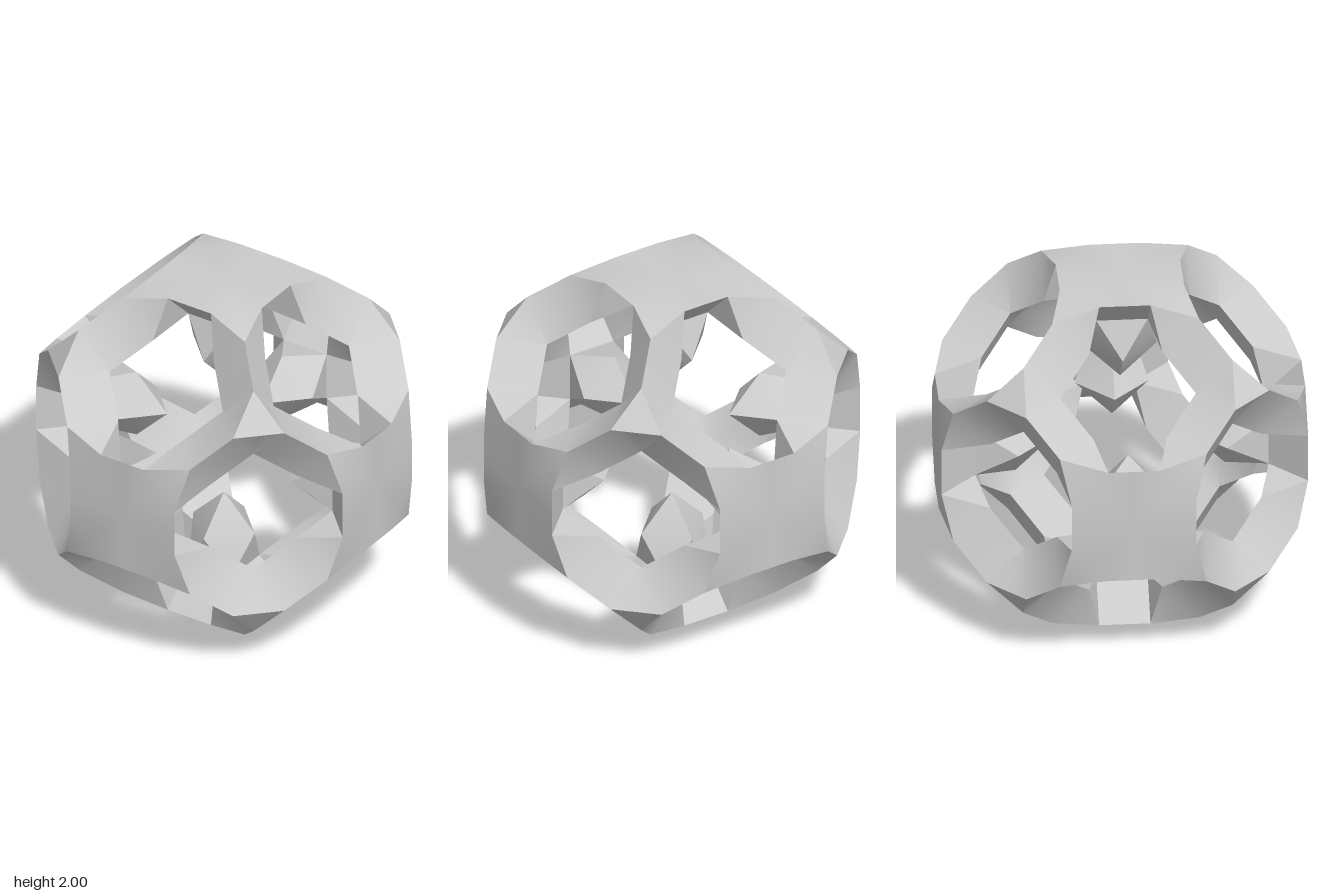
import * as THREE from 'three';
import { toCreasedNormals } from 'three/addons/utils/BufferGeometryUtils.js';

// Key points of one 48th of the body (y >= z >= x >= 0); the rest follows by cube symmetry
const P = {
  capMid: [0, 1, 0], capEdge: [0, 1, 0.34], capSide: [0.14, 1, 0.34],
  capBend: [0.24, 1, 0.24], capTip: [0.4, 0.94, 0.4],
  ridge: [0.57, 0.77, 0.57], ridgeMid: [0.57, 0.67, 0.67], corner: [0.637, 0.637, 0.637],
  inner: [0.37, 0.57, 0.57], neck: [0.2, 0.74, 0.4],
  neckMid: [0.3, 0.74, 0.3], innerMid: [0.47, 0.57, 0.47], innerCorner: [0.503, 0.503, 0.503],
  root: [0.14, 0.8, 0.14], rootMid: [0, 0.8, 0.14],
  waist: [0, 0.57, 0.2], waistMid: [0.1, 0.57, 0.1], tip: [0, 0.37, 0],
};

// Each part: the side its faces look to, then its faces
const PARTS = {
  caps: [[0, 1, 0], 'capMid capEdge capSide', 'capMid capSide capBend', 'capBend capSide capTip'],
  capUndersides: [[0, -1, 1], 'capEdge capSide root', 'capEdge root rootMid'],
  capGussets: [[-1, 0, 0], 'capSide root neck'],
  holeWalls: [[-1, 1, 1], 'capSide capTip neck', 'capTip neck inner', 'capTip ridge inner',
    'ridge ridgeMid inner'],
  cornerTriangles: [[1, 1, 1], 'ridge ridgeMid corner'],
  strutUndersides: [[-1, -1, -1], 'root neck neckMid', 'neck inner innerMid',
    'neck innerMid neckMid', 'inner innerMid innerCorner'],
  innerSpikes: [[1, 0, 1], 'rootMid root waist', 'root waist waistMid', 'waist waistMid tip'],
};

// The 48 symmetries of the cube: axis order, signs and whether it mirrors
const SYMMETRIES = [];
const ORDERS = [[0, 1, 2, 1], [1, 2, 0, 1], [2, 0, 1, 1], [0, 2, 1, -1], [2, 1, 0, -1], [1, 0, 2, -1]];
for (const [a, b, c, parity] of ORDERS) {
  for (const sx of [1, -1]) for (const sy of [1, -1]) for (const sz of [1, -1]) {
    SYMMETRIES.push({
      map: (p) => [p[a] * sx, p[b] * sy, p[c] * sz],
      mirrored: parity * sx * sy * sz < 0,
    });
  }
}

// Turn a triangle so that it looks towards the given side
function orient(names, side) {
  const [a, b, c] = names.split(' ').map((n) => P[n]);
  const va = new THREE.Vector3(...a);
  const normal = new THREE.Vector3(...b).sub(va).cross(new THREE.Vector3(...c).sub(va));
  return normal.dot(new THREE.Vector3(...side)) > 0 ? [a, b, c] : [a, c, b];
}

function buildPart([side, ...faces]) {
  const positions = [];
  for (const face of faces) {
    const triangle = orient(face, side);
    for (const { map, mirrored } of SYMMETRIES) {
      const [a, b, c] = triangle.map(map);
      positions.push(...a, ...(mirrored ? c : b), ...(mirrored ? b : c));
    }
  }
  const geometry = new THREE.BufferGeometry();
  geometry.setAttribute('position', new THREE.Float32BufferAttribute(positions, 3));
  return toCreasedNormals(geometry, Math.PI / 6);
}

export function createModel() {
  const grey = new THREE.MeshStandardMaterial({ color: 0xcccccc });
  grey.name = 'light grey';
  const group = new THREE.Group();
  group.name = 'openCubeFrame';
  for (const [name, part] of Object.entries(PARTS)) {
    const mesh = new THREE.Mesh(buildPart(part), grey);
    mesh.name = name;
    mesh.position.y = 1;
    group.add(mesh);
  }
  return group;
}
